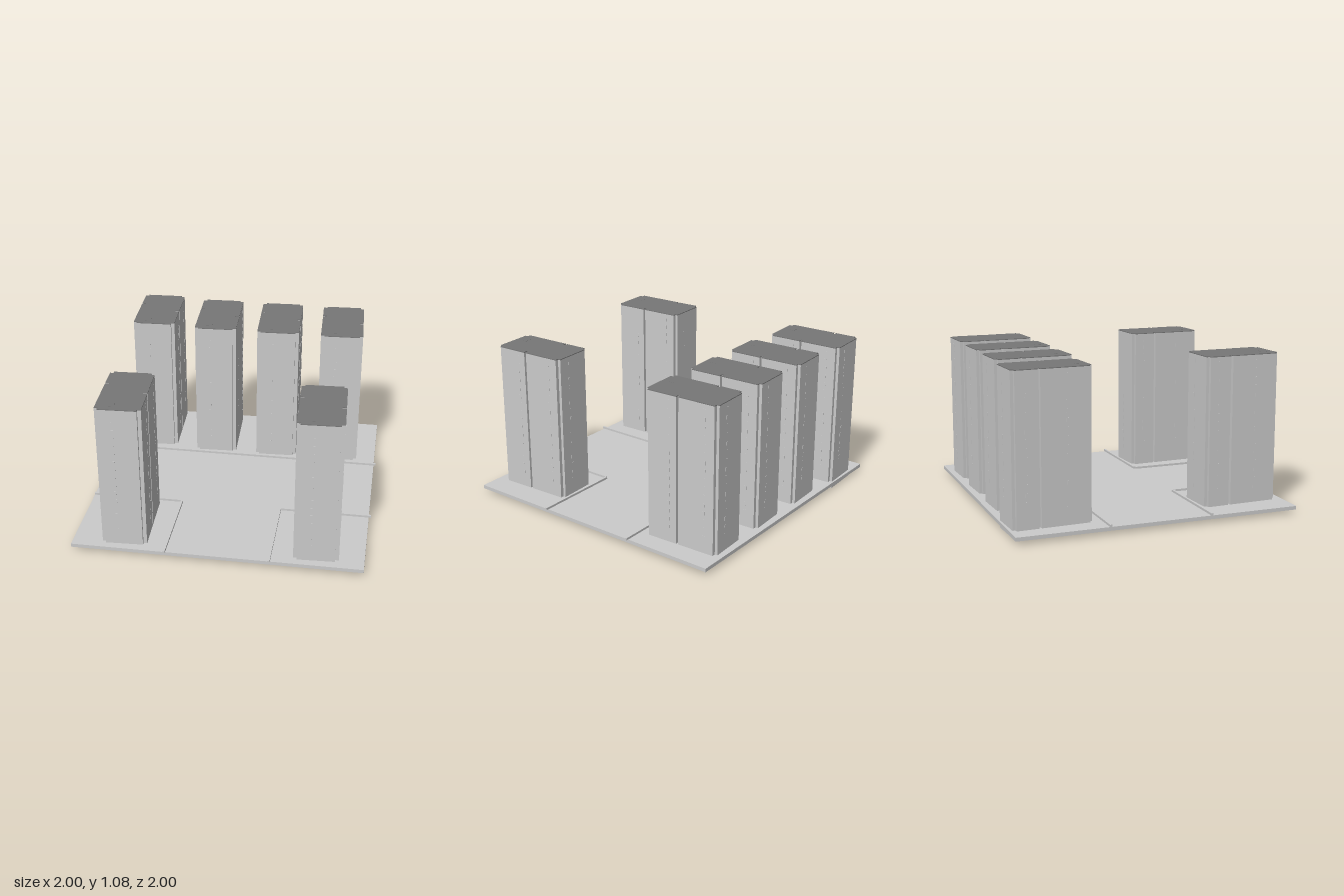
import * as THREE from 'three';
import { mergeGeometries } from 'three/addons/utils/BufferGeometryUtils.js';

const grey = new THREE.MeshStandardMaterial({ color: 0xcccccc });
const dark = new THREE.MeshStandardMaterial({ color: 0x777777 });

const W = 0.153, L = 0.271; // half width and half length of a tower
const TOP = 1.08, TURN = 0.042;

function box(name, x0, x1, y0, y1, z0, z1, material = grey) {
  const mesh = new THREE.Mesh(new THREE.BoxGeometry(x1 - x0, y1 - y0, z1 - z0), material);
  mesh.position.set((x0 + x1) / 2, (y0 + y1) / 2, (z0 + z1) / 2);
  mesh.name = name;
  return mesh;
}

// Tower plan with stepped corners and one narrow slot in each long side
function planShape() {
  const a = 0.025, b = 0.02, d = 0.028, s = 0.008;
  const zLeft = -0.09, zRight = 0.025;
  const points = [
    [-W + a, L], [W - a, L], [W - a, L - b], [W, L - b],
    [W, zRight + s], [W - d, zRight + s], [W - d, zRight - s], [W, zRight - s],
    [W, -L + b], [W - a, -L + b], [W - a, -L], [-W + a, -L],
    [-W + a, -L + b], [-W, -L + b],
    [-W, zLeft - s], [-W + d, zLeft - s], [-W + d, zLeft + s], [-W, zLeft + s],
    [-W, L - b], [-W + a, L - b],
  ];
  return new THREE.Shape(points.map(([x, z]) => new THREE.Vector2(x, -z)));
}

function prism(y0, y1) {
  const geometry = new THREE.ExtrudeGeometry(planShape(), { depth: y1 - y0, bevelEnabled: false });
  return geometry.rotateX(-Math.PI / 2).translate(0, y0, 0);
}

// Columns of small windows, one per floor, on all four sides
function windowGeometry() {
  const parts = [];
  const columns = [
    [-0.04, L, false], [0.04, -L, false],
    [W, 0.09, true], [W, -0.18, true], [-W, -0.18, true], [-W, 0.1, true],
  ];
  for (const [x, z, onSide] of columns) {
    for (let floor = 0; floor < 16; floor++) {
      const size = onSide ? [0.003, 0.026, 0.016] : [0.016, 0.026, 0.003];
      parts.push(new THREE.BoxGeometry(...size).translate(x, 0.16 + floor * 0.058, z));
    }
  }
  return mergeGeometries(parts);
}

export function createModel() {
  const model = new THREE.Group();
  model.name = 'cityBlock';

  // Ground and kerbs
  model.add(box('ground', -1, 0.985, 0.025, 0.05, -1, 0.985));
  const kerbs = new THREE.Group();
  kerbs.name = 'kerbs';
  kerbs.add(box('backKerb', -1, 1, 0.05, 0.065, -0.372, -0.357));
  for (const side of [-1, 1]) {
    const inner = side * 0.36;
    kerbs.add(box('frontKerb', Math.min(inner, side), Math.max(inner, side), 0.05, 0.065, 0.345, 0.36));
    kerbs.add(box('sideKerb', side * 0.355 - 0.0075, side * 0.355 + 0.0075, 0.05, 0.065, 0.36, 1));
  }
  model.add(kerbs);

  // Towers share their geometry; the foot shows below the ground slab
  const walls = prism(0, TOP - 0.006);
  const roof = prism(TOP - 0.006, TOP - 0.001);
  const windows = windowGeometry();
  const sites = [
    [-0.715, -0.712], [-0.247, -0.683], [0.218, -0.683], [0.685, -0.683],
    [-0.652, 0.657], [0.652, 0.657],
  ];
  for (const [x, z] of sites) {
    const tower = new THREE.Group();
    tower.name = 'tower';
    const body = new THREE.Mesh(walls, [dark, grey]);
    body.name = 'towerWalls';
    const cap = new THREE.Mesh(roof, dark);
    cap.name = 'towerRoof';
    const panes = new THREE.Mesh(windows, grey);
    panes.name = 'towerWindows';
    tower.add(body, cap, panes);
    tower.add(box('roofHatch', -0.075, -0.03, TOP - 0.002, TOP, 0.18, 0.225, dark));
    tower.position.set(x, 0, z);
    tower.rotation.y = TURN;
    model.add(tower);
  }
  return model;
}
